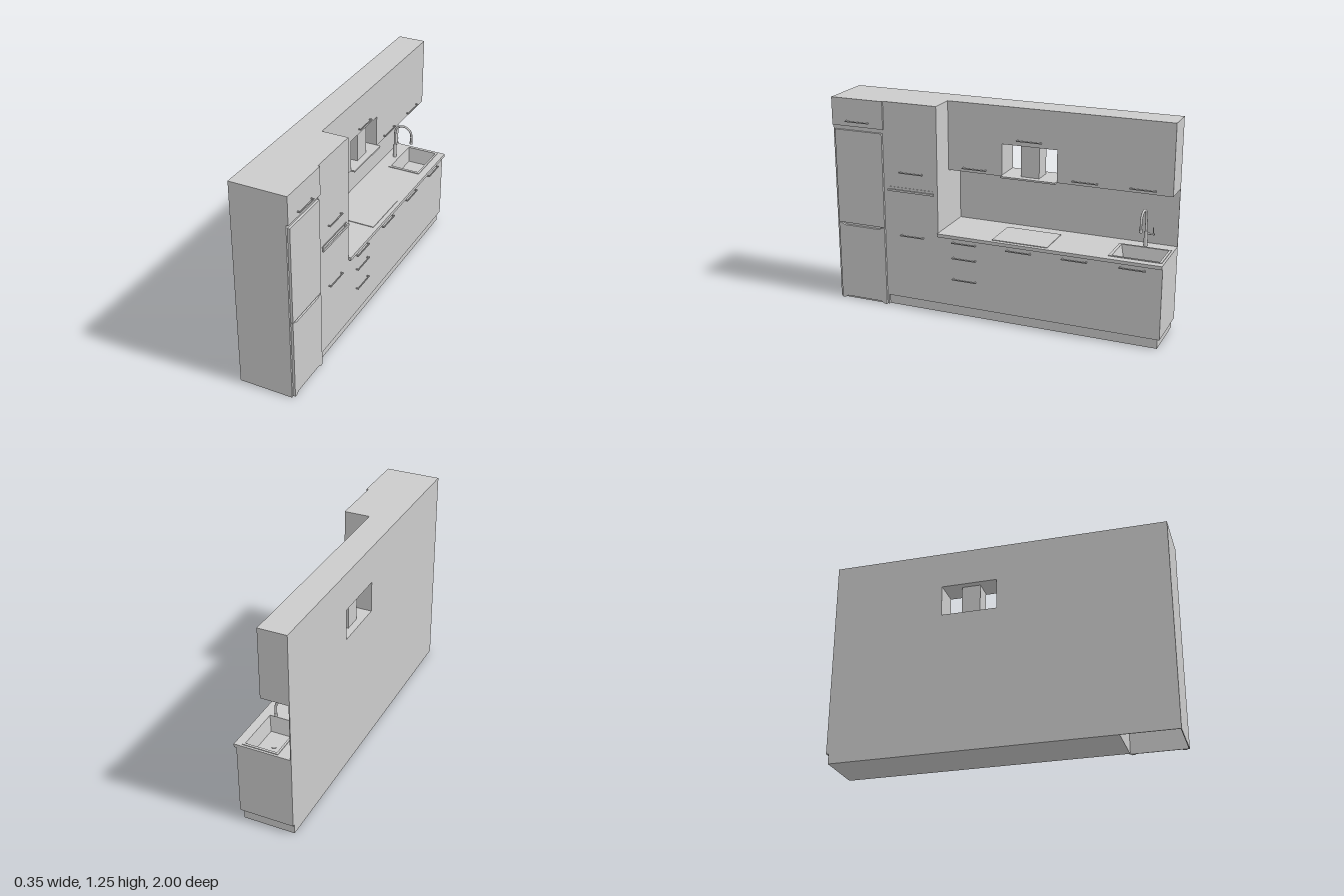
import * as THREE from 'three';

export function createModel() {
  const model = new THREE.Group();
  const mat = new THREE.MeshStandardMaterial({ color: 0xcccccc, side: THREE.DoubleSide });

  const add = (name, geo, parent = model) => {
    const mesh = new THREE.Mesh(geo, mat);
    mesh.name = name;
    parent.add(mesh);
    return mesh;
  };
  // box given by its limits on each axis
  const box = (name, x0, x1, y0, y1, z0, z1, parent) => {
    const geo = new THREE.BoxGeometry(x1 - x0, y1 - y0, z1 - z0);
    geo.translate((x0 + x1) / 2, (y0 + y1) / 2, (z0 + z1) / 2);
    return add(name, geo, parent);
  };
  // outline of [z, y] points pushed out from x0 to x1
  const slab = (name, points, x0, x1) => {
    const shape = new THREE.Shape(points.map(([z, y]) => new THREE.Vector2(-z, y)));
    const geo = new THREE.ExtrudeGeometry(shape, { depth: x1 - x0, bevelEnabled: false });
    geo.rotateY(Math.PI / 2).translate(x0, 0, 0);
    return add(name, geo);
  };
  // horizontal plate with a rectangular opening, limits are [x0, x1, z0, z1]
  const rect = (Type, [x0, x1, z0, z1]) => new Type([[x0, -z0], [x1, -z0], [x1, -z1], [x0, -z1]]
    .map(p => new THREE.Vector2(...p)));
  const frame = (name, outer, inner, y0, y1) => {
    const shape = rect(THREE.Shape, outer);
    shape.holes.push(rect(THREE.Path, inner));
    const geo = new THREE.ExtrudeGeometry(shape, { depth: y1 - y0, bevelEnabled: false });
    geo.rotateX(-Math.PI / 2).translate(0, y0, 0);
    return add(name, geo);
  };
  const tube = (name, pts, r, seg, parent) => add(name, new THREE.TubeGeometry(
    new THREE.CatmullRomCurve3(pts.map(p => new THREE.Vector3(...p))), seg, r, 10), parent);

  const B = -0.175, F = 0.145, U = -0.01;  // back, base front, wall cabinet front

  // base cabinets, hollowed around the sink
  const basin = [-0.085, 0.11, -0.98, -0.695];
  box('plinth', B, 0.13, 0, 0.06, -0.985, 0.67);
  box('baseCabinet', B, F, 0.06, 0.405, -1, 0.335);
  frame('baseCabinetTop', [B, F, -1, 0.335], basin, 0.405, 0.48);
  frame('countertop', [B, 0.16, -1, 0.335], basin, 0.48, 0.5);
  box('backsplash', B, B + 0.005, 0.5, 0.84, -1, 0.335);

  // sink: raised rim, sloping bowl, drain
  frame('sinkRim', [-0.092, 0.117, -0.987, -0.685], [-0.08, 0.105, -0.973, -0.702], 0.5, 0.504);
  const bowl = new THREE.CylinderGeometry(Math.SQRT1_2, Math.SQRT1_2 * 0.85, 0.09, 4, 1, true);
  bowl.rotateY(Math.PI / 4).scale(0.187, 1, 0.273).translate(0.0125, 0.457, -0.8375);
  add('sinkBowl', bowl.toNonIndexed()).geometry.computeVertexNormals();
  box('sinkFloor', -0.075, 0.1, 0.408, 0.413, -0.965, -0.71);
  const drain = new THREE.CylinderGeometry(0.014, 0.014, 0.004, 20);
  add('sinkDrain', drain.translate(0.0125, 0.415, -0.8375));

  // gooseneck tap
  const tap = new THREE.Group();
  tap.name = 'tap';
  tap.position.set(-0.115, 0.5, -0.83);
  model.add(tap);
  add('tapBase', new THREE.CylinderGeometry(0.011, 0.012, 0.085, 16).translate(0, 0.0425, 0), tap);
  const neck = [[0, 0.05, 0], [0, 0.11, 0], [0, 0.165, 0]];
  for (let i = 1; i <= 8; i++) {
    const a = Math.PI * (1 - i / 8);
    neck.push([0.056 + 0.056 * Math.cos(a), 0.17 + 0.056 * Math.sin(a), 0]);
  }
  neck.push([0.112, 0.13, 0]);
  tube('tapSpout', neck, 0.007, 40, tap);
  add('tapNozzle', new THREE.CylinderGeometry(0.009, 0.009, 0.02, 16).translate(0.112, 0.125, 0), tap);
  tube('tapLeverStem', [[0, 0.075, 0], [0, 0.075, -0.05]], 0.006, 2, tap);
  tube('tapLever', [[0, 0.075, -0.042], [0, 0.115, -0.042]], 0.003, 2, tap);

  // hob
  box('hob', -0.1, 0.135, 0.5, 0.504, -0.333, 0);

  // wall cabinets with an open bay for the extractor
  slab('wallCabinet', [[-1, 0.84], [-0.333, 0.84], [-0.333, 1.03], [0, 1.03], [0, 0.84],
    [0.335, 0.84], [0.335, 1.25], [-1, 1.25]], B, U);
  box('hoodPlate', B, 0.015, 0.84, 0.846, -0.333, 0);
  frame('hoodFrame', [B, 0.015, -0.333, 0], [B + 0.018, -0.003, -0.315, -0.018], 0.836, 0.84);
  box('hoodDuct', -0.135, -0.025, 0.846, 1.03, -0.222, -0.111);

  // tall oven cabinet
  box('tallCabinet', B, F, 0.06, 1.25, 0.335, 0.67);
  box('ovenVent', F, F + 0.003, 0.742, 0.748, 0.365, 0.642);
  box('ovenHandle', F + 0.008, F + 0.016, 0.724, 0.736, 0.355, 0.65);
  for (const z of [0.375, 0.625]) box('ovenHandlePost', F, F + 0.01, 0.726, 0.734, z, z + 0.008);

  // fridge housing, open underneath
  box('fridgeTopCabinet', B, 0.157, 1.085, 1.25, 0.67, 1);
  box('fridgeBack', B, B + 0.005, 0, 1.085, 0.67, 1);
  box('fridgeOuterSide', B, F, 0, 1.085, 0.995, 1);
  box('fridgeInnerSide', B, F, 0, 1.085, 0.67, 0.675);
  box('fridgeFrontPanel', F - 0.006, F - 0.002, 0, 1.085, 0.675, 0.995);

  // fridge doors with scooped grips
  slab('upperFridgeDoor', [[0.985, 0.488], [0.68, 0.488], [0.68, 1.06], [0.985, 1.06]], F - 0.002, 0.157);
  slab('lowerFridgeDoor', [[0.985, 0], [0.968, 0], [0.945, 0.014], [0.72, 0.014], [0.697, 0],
    [0.68, 0], [0.68, 0.484], [0.697, 0.484], [0.72, 0.472], [0.945, 0.472], [0.968, 0.484],
    [0.985, 0.484]], F - 0.002, 0.157);

  // bar handles: front face x, height y, centre z
  const handles = [
    [0.157, 1.115, 0.835], [F, 0.84, 0.5], [F, 0.455, 0.5],
    [F, 0.36, 0.17], [F, 0.228, 0.17], [U, 1.06, -0.167],
    ...[0.17, -0.167, -0.5, -0.833].map(z => [F, 0.455, z]),
    ...[0.17, -0.5, -0.833].map(z => [U, 0.862, z]),
  ];
  for (const [x, y, z] of handles) {
    const handle = new THREE.Group();
    handle.name = 'handle';
    handle.position.set(x, y, z);
    model.add(handle);
    box('handleBar', 0.011, 0.016, -0.003, 0.003, -0.075, 0.075, handle);
    for (const s of [-1, 1]) {
      const post = new THREE.CylinderGeometry(0.003, 0.005, 0.013, 10);
      add('handlePost', post.rotateZ(-Math.PI / 2).translate(0.0065, 0, s * 0.069), handle);
    }
  }
  return model;
}
